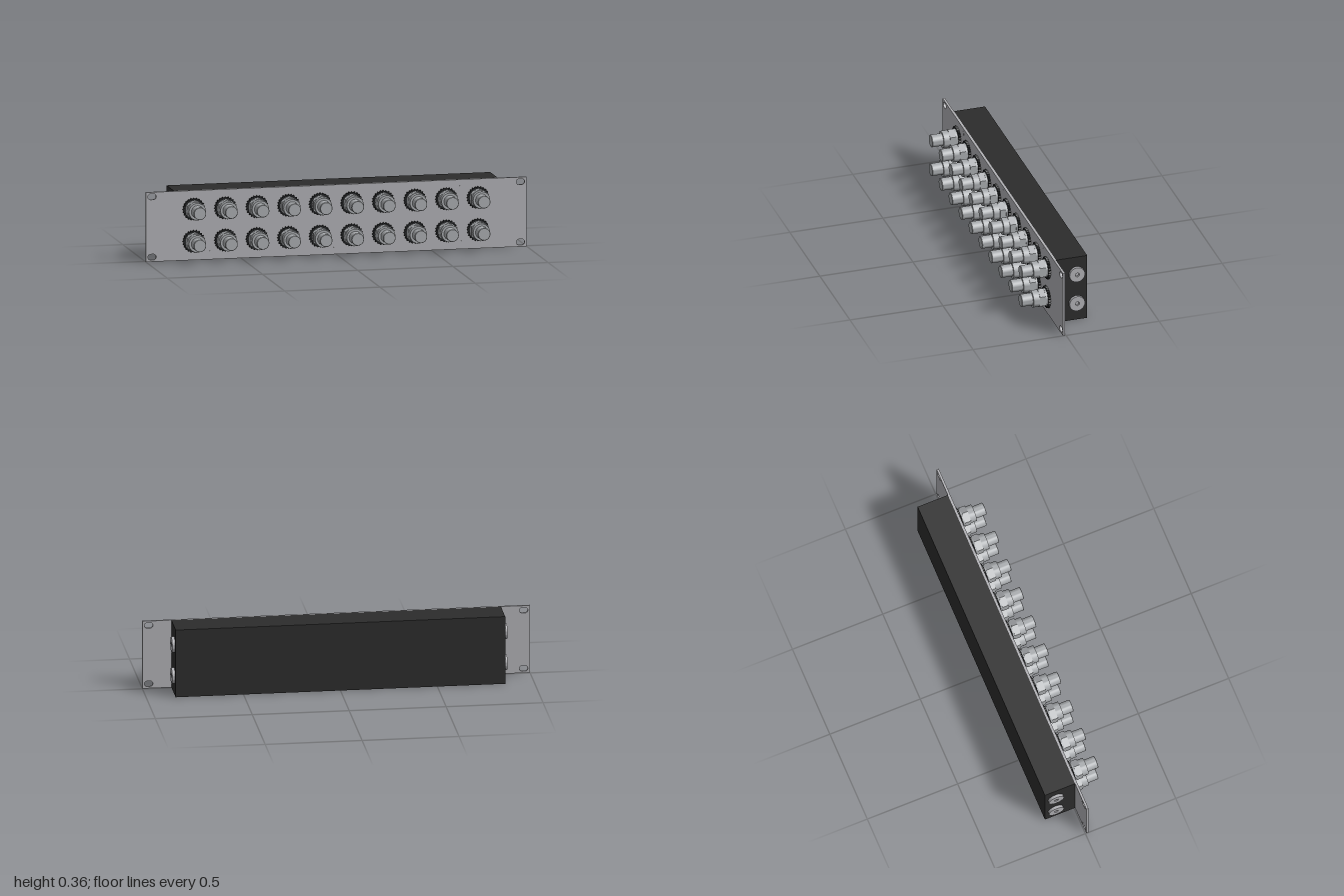
import * as THREE from 'three';
import { toCreasedNormals } from 'three/addons/utils/BufferGeometryUtils.js';

const material = (name, color) => {
  const m = new THREE.MeshStandardMaterial({ color });
  m.name = name;
  return m;
};

// Cylinder along +z between z0 and z1
function rod(radius, z0, z1, sides = 32) {
  const g = new THREE.CylinderGeometry(radius, radius, z1 - z0, sides);
  g.rotateX(Math.PI / 2).translate(0, 0, (z0 + z1) / 2);
  return toCreasedNormals(g, 0.6);
}

// Flat shape extruded between z0 and z1
function plate(shape, z0, z1) {
  const g = new THREE.ExtrudeGeometry(shape, { depth: z1 - z0, bevelEnabled: false, curveSegments: 20 });
  g.translate(0, 0, z0);
  return toCreasedNormals(g, 0.5);
}

// Points of a regular polygon, with radius given per corner
function ring(count, radiusAt) {
  return Array.from({ length: count }, (_, i) => {
    const a = Math.PI / 2 + (i / count) * Math.PI * 2;
    return new THREE.Vector2(Math.cos(a) * radiusAt(i), Math.sin(a) * radiusAt(i));
  });
}

export function createModel() {
  const model = new THREE.Group();
  model.name = 'connectorPanel';
  const panelGrey = material('panel grey', 0xb0b0b4);
  const metal = material('connector metal', 0xa9acaf);
  const boxBlack = material('box black', 0x2c2c2c);
  const washerBlack = material('washer black', 0x202224);

  const add = (parent, name, geometry, mat) => {
    const mesh = new THREE.Mesh(geometry, mat);
    mesh.name = name;
    parent.add(mesh);
    return mesh;
  };

  const H = 0.361, face = 0.017, back = 0.005;
  const rows = [0.098, 0.265];

  // Front panel with four mounting slots
  const panel = new THREE.Shape([
    new THREE.Vector2(-1, 0), new THREE.Vector2(1, 0),
    new THREE.Vector2(1, H), new THREE.Vector2(-1, H),
  ]);
  for (const x of [-0.967, 0.967]) for (const y of [0.024, H - 0.024]) {
    const slot = new THREE.Path();
    const r = 0.015, half = 0.007;
    slot.absarc(x + half, y, r, -Math.PI / 2, Math.PI / 2, false);
    slot.absarc(x - half, y, r, Math.PI / 2, Math.PI * 1.5, false);
    slot.closePath();
    panel.holes.push(slot);
  }
  add(model, 'frontPanel', plate(panel, back, face), panelGrey);

  // Flush screws along the panel edges
  const flushScrew = rod(0.015, face - 0.004, face + 0.0006, 20);
  for (const x of [-0.663, 0, 0.663]) for (const y of [0.03, H - 0.03]) {
    add(model, 'panelScrew', flushScrew, panelGrey).position.set(x, y, 0);
  }

  // Rear housing
  const box = new THREE.BoxGeometry(1.7, H, 0.167);
  add(model, 'housing', box, boxBlack).position.set(0, H / 2, back - 0.0835);

  // Connectors: toothed washer, collar, hex nut, body and tip
  const toothed = new THREE.Shape(ring(48, (i) => (i % 2 ? 0.053 : 0.059)));
  const tipProfile = [[0, 0.1], [0.0325, 0.1], [0.0325, 0.161], [0.0305, 0.163], [0, 0.163]]
    .map(([r, z]) => new THREE.Vector2(r, z));
  const tip = toCreasedNormals(new THREE.LatheGeometry(tipProfile, 32).rotateX(Math.PI / 2), 0.6);
  const parts = [
    ['lockWasher', plate(toothed, face, 0.029), washerBlack],
    ['collar', rod(0.0465, 0.029, 0.039), metal],
    ['hexNut', rod(0.052, 0.039, 0.071, 6), metal],
    ['body', rod(0.0445, 0.071, 0.104), metal],
    ['tip', tip, metal],
  ];
  for (const y of rows) for (let i = 0; i < 10; i++) {
    const connector = new THREE.Group();
    connector.name = 'connector';
    for (const [name, geometry, mat] of parts) add(connector, name, geometry, mat);
    connector.position.set(-0.749 + i * 0.1658, y, 0);
    model.add(connector);
  }

  // Side plugs with a hexagonal socket
  const head = new THREE.Shape().absarc(0, 0, 0.041, 0, Math.PI * 2, false);
  head.holes.push(new THREE.Path(ring(6, () => 0.012)));
  const headGeometry = plate(head, 0, 0.015);
  const socketFloor = rod(0.014, 0, 0.004, 6);
  for (const side of [-1, 1]) for (const y of rows) {
    const plug = new THREE.Group();
    plug.name = 'sidePlug';
    add(plug, 'plugHead', headGeometry, panelGrey);
    add(plug, 'socketFloor', socketFloor, panelGrey);
    plug.rotation.y = side * Math.PI / 2;
    plug.position.set(side * 0.85, y, -0.104);
    model.add(plug);
  }
  return model;
}
